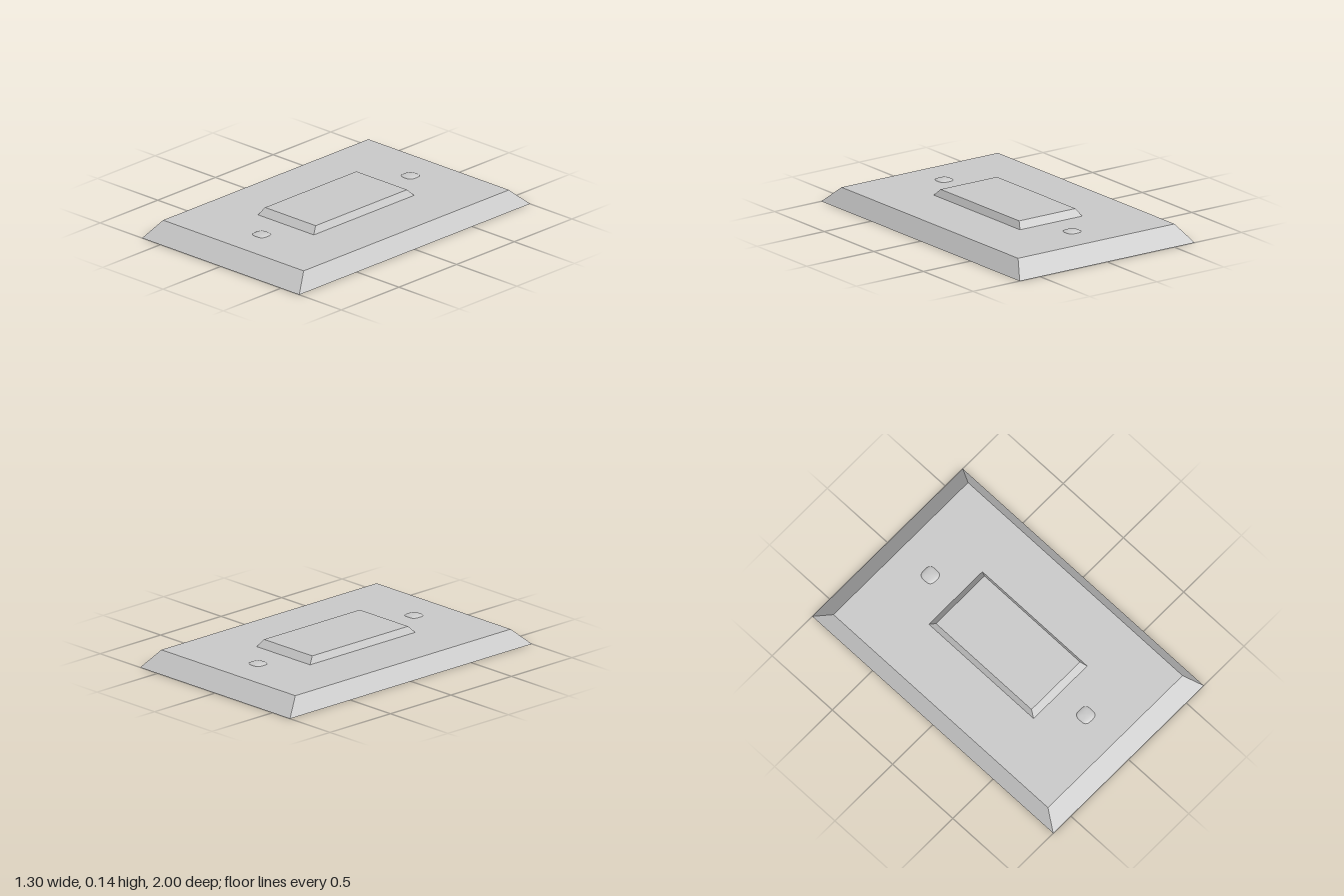
import * as THREE from 'three';

const flat = new THREE.MeshStandardMaterial({ color: 0xcccccc, flatShading: true, side: THREE.DoubleSide });
const smooth = new THREE.MeshStandardMaterial({ color: 0xcccccc, side: THREE.DoubleSide });

// Bevelled slab, open underneath: a box whose top face is pulled inwards
function bevelledShell(name, [bottomX, bottomZ], [topX, topZ], y0, y1) {
  const geo = new THREE.BoxGeometry(2, 1, 2);
  const pos = geo.attributes.position;
  for (let i = 0; i < pos.count; i++) {
    const top = pos.getY(i) > 0;
    pos.setXYZ(i, pos.getX(i) * (top ? topX : bottomX), top ? y1 : y0, pos.getZ(i) * (top ? topZ : bottomZ));
  }
  // drop the -y face (fourth group of the box)
  const index = Array.from(geo.index.array);
  index.splice(18, 6);
  geo.setIndex(index);
  geo.clearGroups();
  geo.computeVertexNormals();
  const mesh = new THREE.Mesh(geo, flat);
  mesh.name = name;
  return mesh;
}

// Shallow dome with a rounded-square outline
function screwHead(name, z, y) {
  const radius = 0.049, height = 0.011;
  const profile = [];
  for (let i = 0; i <= 6; i++) {
    const a = (i / 6) * Math.PI / 2;
    profile.push(new THREE.Vector2(radius * Math.sin(Math.PI / 2 - a), height * Math.sin(a)));
  }
  const geo = new THREE.LatheGeometry(profile, 32);
  const pos = geo.attributes.position;
  for (let i = 0; i < pos.count; i++) {
    const x = pos.getX(i), zz = pos.getZ(i), r = Math.hypot(x, zz);
    if (r < 1e-6) continue;
    const c = Math.abs(x / r), s = Math.abs(zz / r);
    const k = Math.pow(c ** 3.2 + s ** 3.2, -1 / 3.2);
    pos.setX(i, x * k);
    pos.setZ(i, zz * k);
  }
  geo.computeVertexNormals();
  const mesh = new THREE.Mesh(geo, smooth);
  mesh.name = name;
  mesh.position.set(0, y, z);
  return mesh;
}

export function createModel() {
  const model = new THREE.Group();
  model.name = 'wallSwitch';
  const plateTop = 0.103;

  // Wall plate and rocker
  model.add(bevelledShell('coverPlate', [0.652, 1], [0.583, 0.89], 0, plateTop));
  model.add(bevelledShell('rocker', [0.232, 0.435], [0.21, 0.396], plateTop, 0.145));

  // Fixing screws above and below the rocker
  model.add(screwHead('upperScrew', -0.645, plateTop));
  model.add(screwHead('lowerScrew', 0.645, plateTop));
  return model;
}
